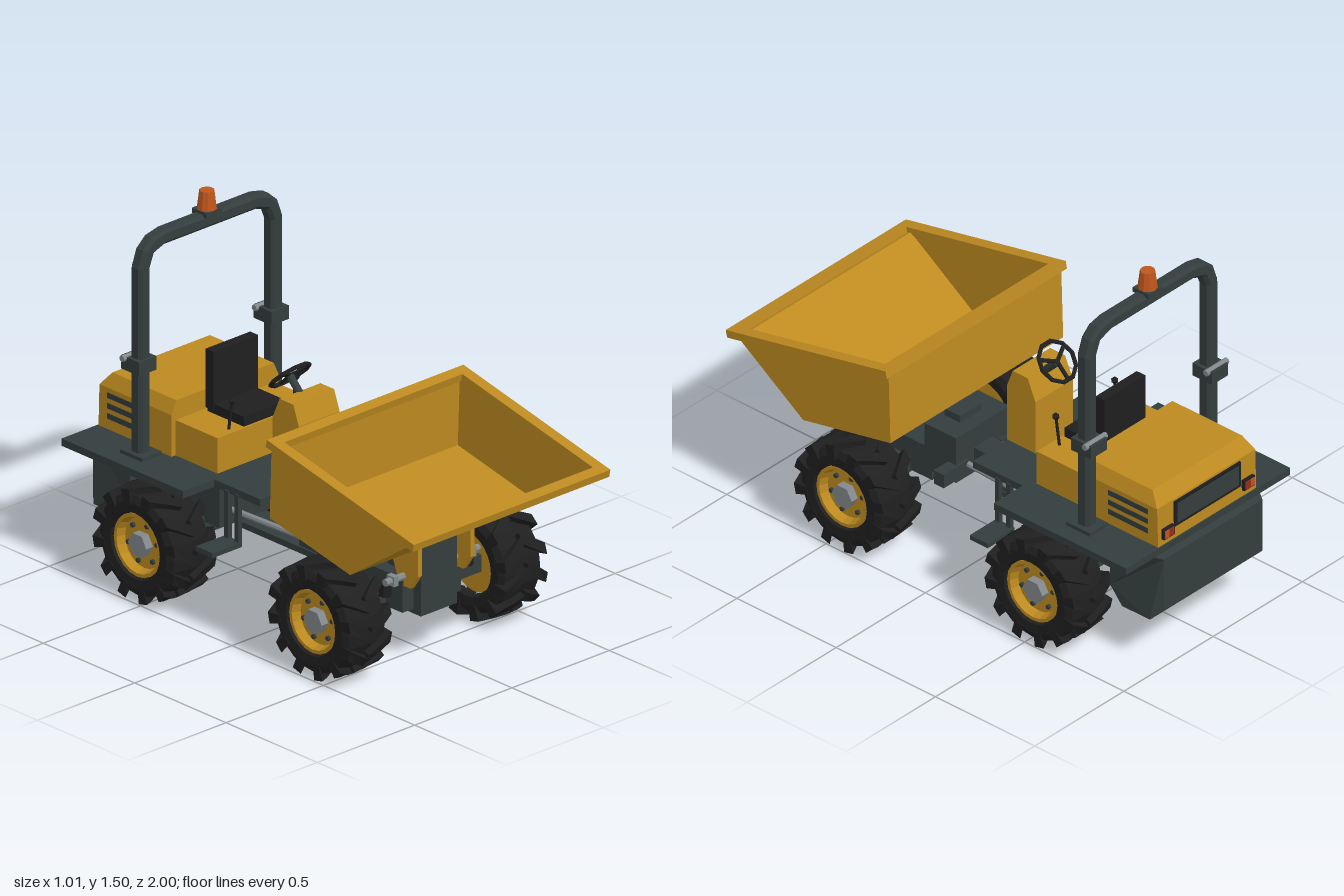
import * as THREE from 'three';

const mat = (name, color) => {
  const m = new THREE.MeshStandardMaterial({ color });
  m.name = name;
  return m;
};

export function createModel() {
  const yellow = mat('yellow paint', 0xbd8a20), dark = mat('dark grey paint', 0x343d3d);
  const black = mat('black rubber', 0x1f1f20), silver = mat('bare steel', 0x82888c);
  const orange = mat('amber lamp', 0xc0561c), red = mat('red lamp', 0x9a2c18);
  const model = new THREE.Group();

  // ---- helpers ----
  const add = (name, geo, material, parent = model) => {
    const g = geo.index ? geo.toNonIndexed() : geo;
    g.computeVertexNormals();
    const mesh = new THREE.Mesh(g, material);
    mesh.name = name;
    parent.add(mesh);
    return mesh;
  };
  // box from its min/max extents
  const box = (name, m, x0, x1, y0, y1, z0, z1, parent) =>
    add(name, new THREE.BoxGeometry(x1 - x0, y1 - y0, z1 - z0)
      .translate((x0 + x1) / 2, (y0 + y1) / 2, (z0 + z1) / 2), m, parent);
  // the same box on both sides
  const pair = (name, m, x0, x1, ...r) => {
    box(name, m, x0, x1, ...r);
    box(name, m, -x1, -x0, ...r);
  };
  const shapeOf = pts => new THREE.Shape(pts.map(p => new THREE.Vector2(...p)));
  // [z, y] profile extruded across x
  const profile = (pts, width, cx = 0) =>
    new THREE.ExtrudeGeometry(shapeOf(pts.map(([z, y]) => [-z, y])), { depth: width, bevelEnabled: false })
      .rotateY(Math.PI / 2).translate(cx - width / 2, 0, 0);
  const warp = (geo, rule) => {
    const p = geo.attributes.position, v = new THREE.Vector3();
    for (let i = 0; i < p.count; i++) {
      rule(v.fromBufferAttribute(p, i));
      p.setXYZ(i, v.x, v.y, v.z);
    }
    return geo;
  };
  const rod = (name, m, a, b, r, sides = 8) => {
    const A = new THREE.Vector3(...a), B = new THREE.Vector3(...b), d = B.clone().sub(A);
    const mesh = add(name, new THREE.CylinderGeometry(r, r, d.length(), sides), m);
    mesh.position.copy(A).add(B).multiplyScalar(0.5);
    mesh.quaternion.setFromUnitVectors(new THREE.Vector3(0, 1, 0), d.normalize());
  };

  // ---- wheels (axis along local y) ----
  const lathe = (pts, n) => new THREE.LatheGeometry(pts.map(p => new THREE.Vector2(...p)), n);
  const LUGS = 12;
  const makeWheel = (x, z) => {
    const wheel = new THREE.Group();
    wheel.name = 'wheel';
    add('tyre', lathe([[0.125, -0.08], [0.135, -0.1], [0.175, -0.103], [0.202, -0.09], [0.21, 0],
      [0.202, 0.09], [0.175, 0.103], [0.135, 0.1], [0.125, 0.08]], 24), black, wheel);
    add('rim', lathe([[0, -0.06], [0.128, -0.06], [0.128, 0.09], [0.114, 0.09], [0.102, 0.055], [0, 0.055]], 20),
      yellow, wheel);
    add('hub', new THREE.CylinderGeometry(0.05, 0.05, 0.04, 6).translate(0, 0.07, 0), silver, wheel);
    for (let i = 0; i < 6; i++) {
      const a = i * Math.PI / 3 + 0.3;
      add('wheelBolt', new THREE.CylinderGeometry(0.01, 0.01, 0.014, 6)
        .translate(0.08 * Math.cos(a), 0.06, 0.08 * Math.sin(a)), dark, wheel);
    }
    // chevron lugs, bent round the tyre and down the sidewall
    for (let i = 0; i < LUGS; i++) for (const s of [-1, 1]) {
      const a0 = (i + (s > 0 ? 0.15 : 0)) * Math.PI * 2 / LUGS;
      add('treadLug', warp(new THREE.BoxGeometry(1, 0.107, 1, 1, 2, 1), v => {
        const out = s * v.y + 0.0535, k = out / 0.107;
        const r = v.x > 0 ? 0.235 - 0.007 * k : 0.2 - 0.035 * k * k;
        const a = a0 + v.z * 0.2 - k * 0.3;
        v.set(r * Math.cos(a), s * out, r * Math.sin(a));
      }), black, wheel);
    }
    wheel.rotation.z = -Math.sign(x) * Math.PI / 2;
    wheel.position.set(x, 0.235, z);
    model.add(wheel);
  };
  for (const z of [0.43, -0.53]) {
    for (const s of [-1, 1]) makeWheel(s * 0.4, z);
    box('axle', dark, -0.35, 0.35, 0.2, 0.27, z - 0.04, z + 0.04);
  }

  // ---- skip ----
  const outer = [[0.2, 0.885], [0.19, 0.58], [0.63, 0.49], [0.965, 0.722]];
  add('skipShell', profile([...outer, [0.935, 0.735], [0.62, 0.515], [0.215, 0.6], [0.225, 0.88]], 0.95), yellow);
  for (const s of [-1, 1]) add('skipSide', profile(outer, 0.025, s * 0.4715), yellow);
  const rect = (w, h) => [[-w, -h], [w, -h], [w, h], [-w, h]];
  const rim = shapeOf(rect(0.505, 0.411));
  rim.holes.push(shapeOf(rect(0.457, 0.365)));
  add('skipRim', new THREE.ExtrudeGeometry(rim, { depth: 0.032, bevelEnabled: false })
    .rotateX(-Math.PI / 2).rotateX(0.207).translate(0, 0.794, 0.592), yellow);
  for (const s of [-1, 1])
    add('skipBracket', profile([[0.64, 0.5], [0.64, 0.38], [0.6, 0.32], [0.54, 0.32], [0.5, 0.42], [0.5, 0.53]],
      0.02, s * 0.135), yellow);

  // ---- front chassis ----
  box('frontFrame', dark, -0.15, 0.15, 0.21, 0.35, 0.28, 0.56);
  box('frontFrameRear', dark, -0.15, 0.15, 0.25, 0.45, 0.16, 0.32);
  box('frontTank', dark, -0.092, 0.092, 0.19, 0.48, 0.42, 0.6);
  box('valveBlock', dark, -0.06, 0.06, 0.45, 0.48, 0.22, 0.3);
  pair('frameLug', dark, 0.09, 0.23, 0.27, 0.33, 0.15, 0.2);
  for (const s of [-1, 1]) {
    rod('tipPin', silver, [s * 0.1, 0.36, 0.56], [s * 0.24, 0.36, 0.56], 0.015);
    box('pinCollar', silver, s * 0.2 - 0.012, s * 0.2 + 0.012, 0.34, 0.38, 0.54, 0.58);
    rod('hoseEnd', black, [s * 0.21, 0.29, 0.53], [s * 0.21, 0.34, 0.53], 0.025, 6);
  }

  // ---- articulation joint ----
  box('jointArm', dark, -0.05, 0.05, 0.26, 0.36, 0.0, 0.17);
  box('jointHead', dark, -0.07, 0.07, 0.25, 0.365, -0.09, 0.02);
  box('upperJointPlate', dark, -0.07, 0.07, 0.375, 0.4, -0.42, 0.02);
  box('lowerJointPlate', dark, -0.07, 0.07, 0.22, 0.245, -0.42, 0.02);
  rod('jointPin', silver, [0, 0.2, -0.05], [0, 0.42, -0.05], 0.02);
  for (const s of [-1, 1]) rod('steeringRam', silver, [s * 0.09, 0.31, 0.16], [s * 0.12, 0.31, -0.42], 0.012);

  // ---- rear chassis ----
  box('deckRear', dark, -0.46, 0.46, 0.49, 0.52, -0.975, -0.31);
  box('deckFront', dark, -0.3, 0.3, 0.49, 0.52, -0.31, -0.06);
  box('rearFrame', dark, -0.18, 0.18, 0.25, 0.49, -0.82, -0.41);
  add('counterweight', warp(profile([[-0.76, 0.49], [-0.95, 0.49], [-1, 0.48], [-1, 0.25], [-0.96, 0.21],
    [-0.82, 0.21], [-0.76, 0.28]], 0.62), v => { if (v.z < -0.98) v.x *= 0.89; }), dark);
  for (const s of [-1, 1]) {
    const c = s * 0.365;
    box('stepTread', dark, c - 0.075, c + 0.075, 0.285, 0.305, -0.26, -0.17);
    for (const z of [-0.185, -0.24])
      box('stepHanger', dark, s * 0.295 - 0.01, s * 0.295 + 0.01, 0.29, 0.5, z - 0.01, z + 0.01);
  }

  // ---- engine cover and seat base ----
  box('seatBase', yellow, -0.255, 0.255, 0.52, 0.665, -0.58, -0.34);
  add('engineCover', profile([[-0.57, 0.52], [-0.57, 0.69], [-0.965, 0.69], [-0.97, 0.52]], 0.55), yellow);
  add('engineCoverTop', warp(profile([[-0.57, 0.69], [-0.57, 0.745], [-0.92, 0.745], [-0.965, 0.69]], 0.55),
    v => { if (v.y > 0.72) v.x *= 0.91; }), yellow);
  for (const y of [0.575, 0.617, 0.66]) pair('sideVent', dark, 0.272, 0.278, y - 0.011, y + 0.011, -0.92, -0.72);
  box('rearGrilleFrame', black, -0.185, 0.185, 0.572, 0.682, -0.974, -0.966);
  box('rearGrille', dark, -0.17, 0.17, 0.585, 0.67, -0.977, -0.969);
  pair('tailLampHousing', black, 0.195, 0.255, 0.548, 0.592, -0.982, -0.965);
  pair('tailLamp', red, 0.2, 0.228, 0.554, 0.586, -0.986, -0.978);
  pair('indicatorLamp', orange, 0.228, 0.25, 0.554, 0.586, -0.986, -0.978);

  // ---- seat and controls ----
  box('seatCushion', black, -0.11, 0.11, 0.665, 0.705, -0.55, -0.35);
  box('seatBack', black, -0.115, 0.115, 0.68, 0.92, -0.555, -0.512);
  for (const s of [-1, 1]) {
    rod('lever', black, [s * 0.165, 0.66, -0.375], [s * 0.165, 0.78, -0.357], 0.006, 6);
    add('leverKnob', new THREE.OctahedronGeometry(0.018).translate(s * 0.165, 0.785, -0.356), black);
  }
  add('console', profile([[-0.055, 0.52], [-0.055, 0.76], [-0.085, 0.84], [-0.16, 0.84], [-0.2, 0.75], [-0.2, 0.52]],
    0.21), yellow);
  rod('steeringColumn', dark, [0, 0.82, -0.15], [0, 0.885, -0.215], 0.015);
  const steering = new THREE.Group();
  steering.name = 'steeringWheel';
  add('steeringRing', new THREE.TorusGeometry(0.083, 0.009, 6, 10), black, steering);
  for (let i = 0; i < 3; i++)
    add('steeringSpoke', new THREE.BoxGeometry(0.083, 0.014, 0.008).translate(0.041, 0, 0)
      .rotateZ(Math.PI / 2 + i * Math.PI * 2 / 3), black, steering);
  steering.rotation.x = -Math.PI * 0.75;
  steering.position.set(0, 0.888, -0.215);
  model.add(steering);

  // ---- roll bar and beacon ----
  const half = [[0.37, 0.52], [0.37, 1.29], [0.345, 1.36], [0.3, 1.4], [0.235, 1.415]];
  const inner = [[0.31, 0.52], [0.31, 1.285], [0.29, 1.335], [0.235, 1.355]];
  const flip = pts => pts.map(([x, y]) => [-x, y]).reverse();
  const arch = shapeOf([...half, ...flip(half), ...flip(inner).reverse(), ...inner.slice().reverse()]);
  add('rollBar', new THREE.ExtrudeGeometry(arch, { depth: 0.034, bevelSize: 0.013, bevelThickness: 0.013,
    bevelOffset: -0.013, bevelSegments: 1 }).translate(0, 0, -0.687), dark);
  pair('rollBarFoot', dark, 0.29, 0.39, 0.52, 0.535, -0.73, -0.61);
  pair('rollBarHinge', dark, 0.295, 0.385, 0.865, 0.92, -0.73, -0.63);
  for (const s of [-1, 1]) rod('hingePin', silver, [s * 0.28, 0.915, -0.71], [s * 0.4, 0.915, -0.71], 0.013);
  box('beaconBase', dark, -0.04, 0.04, 1.405, 1.425, -0.71, -0.63);
  add('beacon', new THREE.CylinderGeometry(0.029, 0.039, 0.08, 10).translate(0, 1.46, -0.67), orange);
  return model;
}
